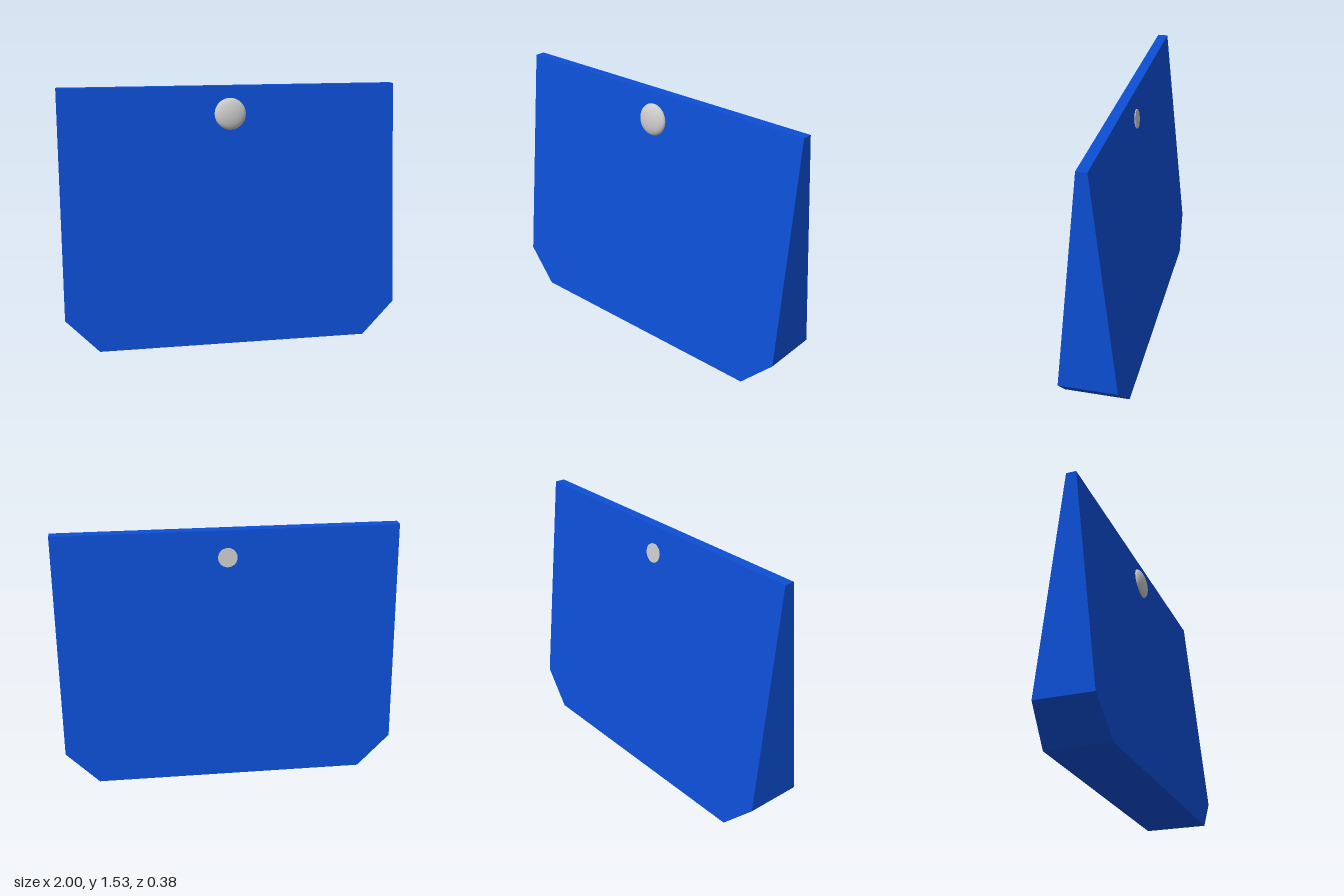
import * as THREE from 'three';

const HEIGHT = 1.527, BOTTOM = 0.19, TOP = 0.03, CUT = 0.195;
const SLOPE = (BOTTOM - TOP) / HEIGHT;
const halfDepth = (y) => BOTTOM - SLOPE * y;

// Wedge-shaped pouch: outline with clipped lower corners, tapered towards the top
function pouchBody(material) {
  const outline = new THREE.Shape([
    [-1 + CUT, 0], [1 - CUT, 0], [1, CUT], [1, HEIGHT], [-1, HEIGHT], [-1, CUT],
  ].map(([x, y]) => new THREE.Vector2(x, y)));
  const geometry = new THREE.ExtrudeGeometry(outline, { depth: 2, bevelEnabled: false });
  geometry.translate(0, 0, -1);
  const p = geometry.attributes.position;
  for (let i = 0; i < p.count; i++) p.setZ(i, p.getZ(i) * halfDepth(p.getY(i)));
  geometry.computeVertexNormals();
  const mesh = new THREE.Mesh(geometry, material);
  mesh.name = 'pouchBody';
  return mesh;
}

export function createModel() {
  const group = new THREE.Group();
  group.name = 'clutchBag';
  const blue = new THREE.MeshStandardMaterial({ color: 0x0d4fd6, flatShading: true });
  const grey = new THREE.MeshStandardMaterial({ color: 0xcccccc });
  const tilt = Math.atan(SLOPE);

  group.add(pouchBody(blue));

  // Domed snap button lying on the sloping front
  const button = new THREE.Mesh(new THREE.SphereGeometry(1, 48, 32), grey);
  button.name = 'snapButton';
  button.scale.set(0.093, 0.093, 0.036);
  button.position.set(0, 1.365, halfDepth(1.365));
  button.rotation.x = -tilt;
  group.add(button);

  // Flat rivet end on the back
  const rivet = new THREE.Mesh(new THREE.CylinderGeometry(0.056, 0.056, 0.01, 48), grey);
  rivet.name = 'backRivet';
  rivet.position.set(0, 1.37, -halfDepth(1.37));
  rivet.rotation.x = tilt - Math.PI / 2;
  group.add(rivet);

  return group;
}
